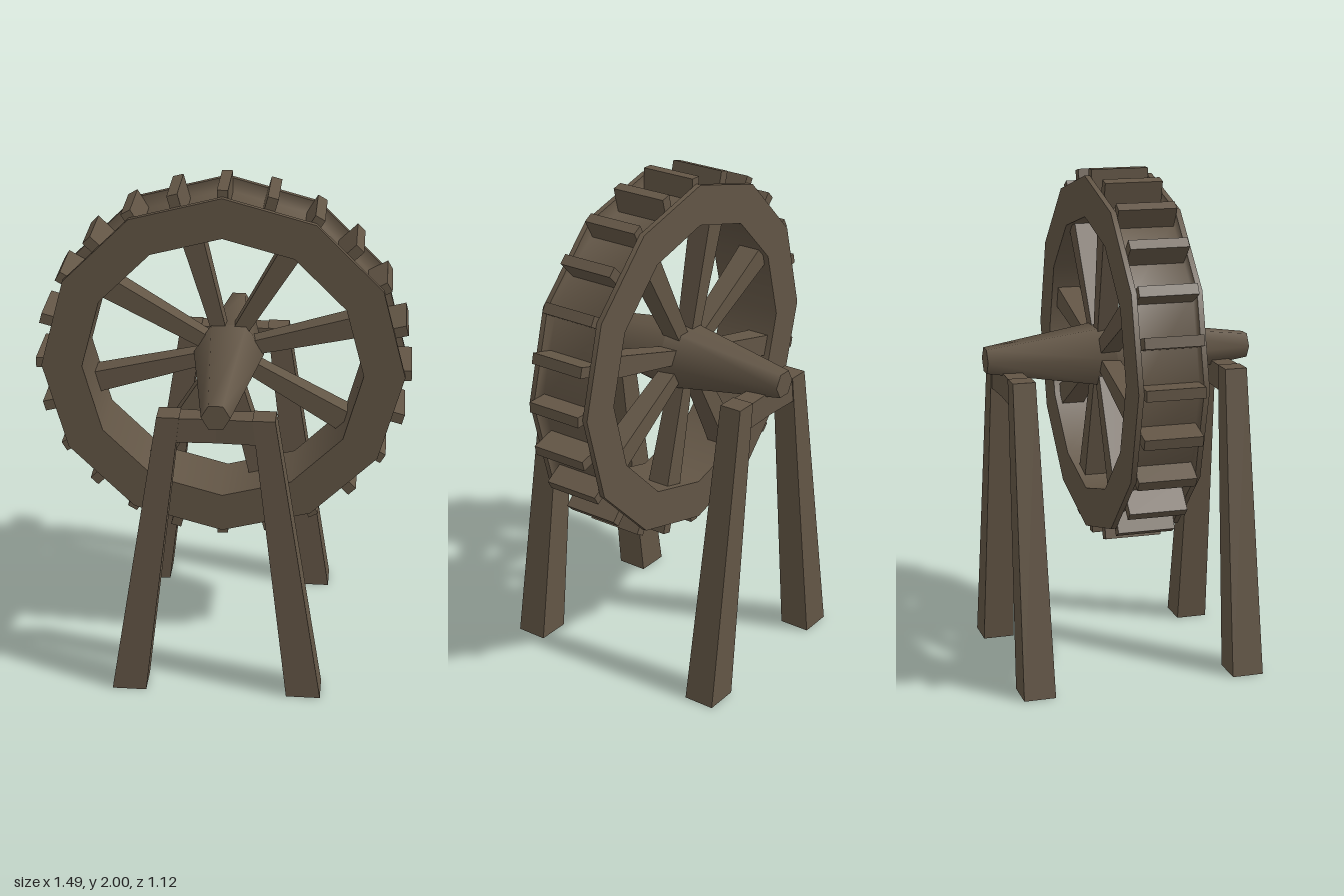
import * as THREE from 'three';
import { mergeGeometries } from 'three/addons/utils/BufferGeometryUtils.js';

const wood = new THREE.MeshStandardMaterial({ color: 0x625545 });
wood.name = 'dark wood';

const AXLE_Y = 1.265;
const HUB_Z = -0.065; // spokes sit behind the middle of the rim

function add(parent, name, geometry) {
  const mesh = new THREE.Mesh(geometry, wood);
  mesh.name = name;
  parent.add(mesh);
  return mesh;
}

// Four-sided bar running along y between two rectangles { x, y, w, d }
function bar(a, b) {
  const g = new THREE.BoxGeometry(1, 1, 1);
  const p = g.attributes.position;
  for (let i = 0; i < p.count; i++) {
    const s = p.getY(i) < 0 ? a : b;
    p.setXYZ(i, (s.x || 0) + p.getX(i) * s.w, s.y, p.getZ(i) * s.d);
  }
  g.computeVertexNormals();
  return g;
}

// Twelve-sided rim: bands with sharp edges between them; the outside is a
// smooth channel between two narrow lips
function rimGeometry() {
  const outer = 0.71, floor = 0.655, inner = 0.55, half = 0.136, lip = 0.115;
  const bands = [
    [[outer, -half], [outer, -lip]],
    [[outer, -lip], [floor, -lip], [floor, lip], [outer, lip]],
    [[outer, lip], [outer, half]],
    [[outer, half], [inner, half]],
    [[inner, half], [inner, -half]],
    [[inner, -half], [outer, -half]],
  ].map((band) => new THREE.LatheGeometry(band.map(([r, y]) => new THREE.Vector2(r, y)), 12));
  return mergeGeometries(bands).rotateX(Math.PI / 2);
}

function createWheel() {
  const wheel = new THREE.Group();
  wheel.name = 'wheel';
  add(wheel, 'rim', rimGeometry());

  // Spokes widen towards the rim
  const spoke = bar({ y: 0.06, w: 0.055, d: 0.07 }, { y: 0.57, w: 0.09, d: 0.095 });
  for (let i = 0; i < 8; i++) {
    const s = add(wheel, 'spoke', spoke);
    s.position.z = HUB_Z;
    s.rotation.z = THREE.MathUtils.degToRad(15 + 45 * i);
  }

  // Paddles set in the channel
  const paddle = new THREE.BoxGeometry(0.042, 0.125, 0.228).translate(0, 0.6725, 0);
  for (let i = 0; i < 24; i++) {
    add(wheel, 'paddle', paddle).rotation.z = (i * Math.PI) / 12;
  }

  // Six-sided axle, thickest at the hub and tapering to both ends
  for (const side of [1, -1]) {
    const length = 0.54 - side * HUB_Z * 0.6;
    const half = new THREE.CylinderGeometry(0.055, 0.14, length, 6, 1, false, Math.PI / 6)
      .translate(0, length / 2, 0).rotateX(side * Math.PI / 2);
    add(wheel, 'axle', half).position.set(0.012, 0, HUB_Z * 0.6);
  }
  wheel.position.set(0.003, AXLE_Y, 0.01);
  return wheel;
}

// Pair of splayed legs joined by a beam under the axle
function createStand() {
  const stand = new THREE.Group();
  stand.name = 'stand';
  const leg = bar({ x: 0.35, y: 0, w: 0.136, d: 0.127 }, { x: 0.181, y: 1.22, w: 0.086, d: 0.09 });
  const beam = bar({ y: 0, w: 0.1, d: 0.074 }, { y: 0.2, w: 0.1, d: 0.088 }).rotateZ(-Math.PI / 2);
  for (const turn of [0, Math.PI]) {
    add(stand, 'leg', leg).rotation.y = turn;
    const b = add(stand, 'beam', beam);
    b.rotation.y = turn;
    b.position.y = 1.167;
  }
  return stand;
}

export function createModel() {
  const model = new THREE.Group();
  model.name = 'water wheel';
  model.add(createWheel());
  for (const z of [0.43, -0.43]) {
    const stand = createStand();
    stand.position.set(0.008, 0, z);
    model.add(stand);
  }
  model.rotation.y = THREE.MathUtils.degToRad(-10);
  const root = new THREE.Group();
  root.add(model);
  return root;
}
